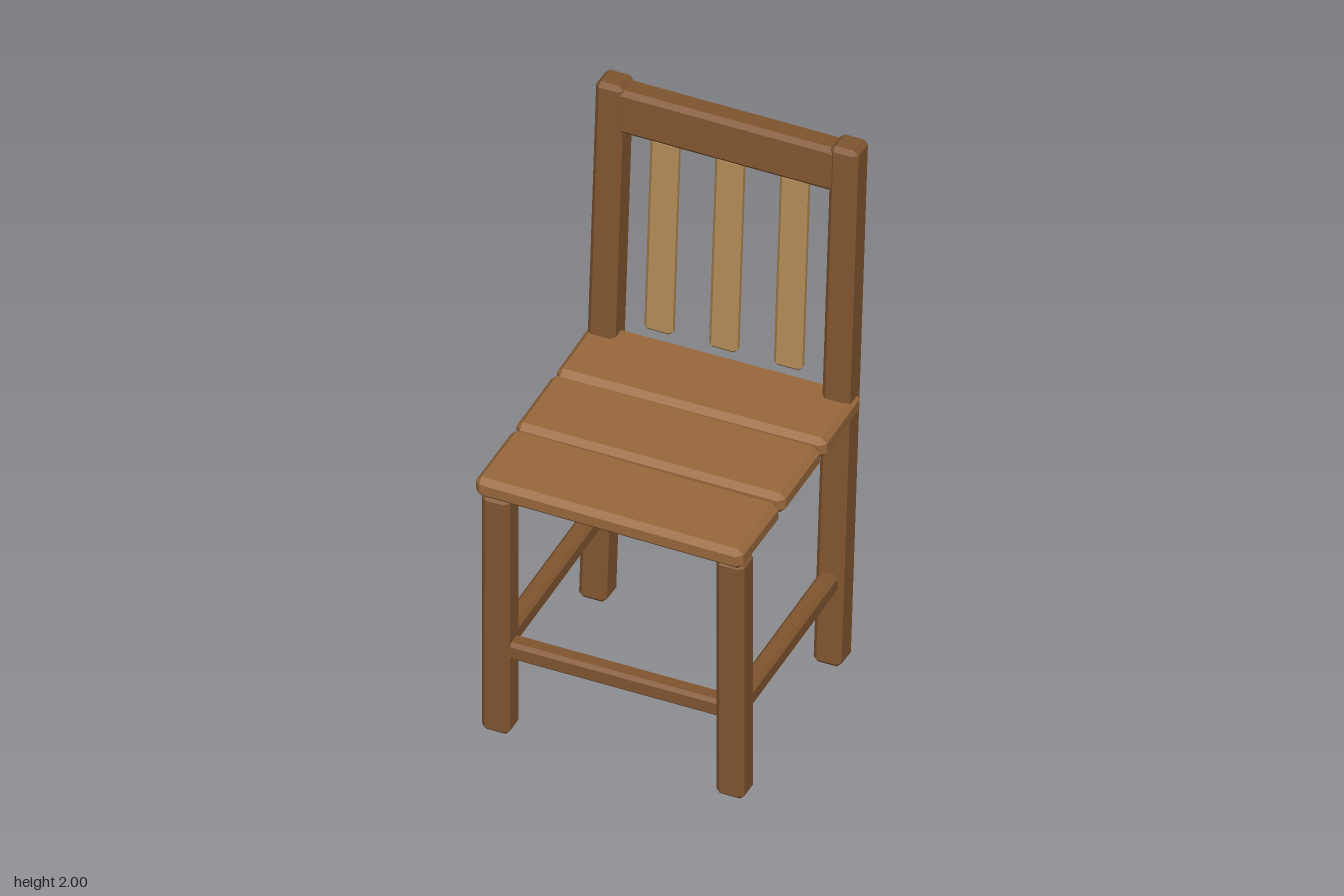
import * as THREE from 'three';
import { ConvexGeometry } from 'three/addons/geometries/ConvexGeometry.js';

const material = (color) => new THREE.MeshStandardMaterial({ color, flatShading: true });

// Box with flat chamfers on every edge and corner
function chamferBox(w, h, d, c) {
  const points = [];
  for (const x of [-1, 1]) for (const y of [-1, 1]) for (const z of [-1, 1]) {
    const [X, Y, Z] = [w / 2, h / 2, d / 2];
    points.push(
      new THREE.Vector3(x * X, y * (Y - c), z * (Z - c)),
      new THREE.Vector3(x * (X - c), y * Y, z * (Z - c)),
      new THREE.Vector3(x * (X - c), y * (Y - c), z * Z));
  }
  return new ConvexGeometry(points);
}

export function createModel() {
  const chair = new THREE.Group();
  chair.name = 'chair';
  const frameWood = material(0x80552f);
  const seatWood = material(0x98683c);
  const slatWood = material(0xb08a56);

  function beam(parent, name, size, position, chamfer, wood) {
    const mesh = new THREE.Mesh(chamferBox(...size, chamfer), wood);
    mesh.name = name;
    mesh.position.set(...position);
    parent.add(mesh);
    return mesh;
  }

  // Leaning back frame: posts, top rail and slats share one tilt
  const back = new THREE.Group();
  back.name = 'backFrame';
  back.position.set(0, 1, -0.393);
  back.rotation.x = -0.0675;
  chair.add(back);

  for (const [side, s] of [['left', 1], ['right', -1]]) {
    beam(back, side + 'BackPost', [0.098, 1.998, 0.105], [s * 0.413, 0, 0], 0.016, frameWood);
    beam(chair, side + 'FrontLeg', [0.098, 0.952, 0.098], [s * 0.413, 0.476, 0.432], 0.016, frameWood);
    beam(chair, side + 'Stretcher', [0.065, 0.067, 0.8], [s * 0.413, 0.334, 0.055], 0.012, frameWood);
  }
  beam(chair, 'frontStretcher', [0.8, 0.067, 0.065], [0, 0.334, 0.432], 0.012, frameWood);
  beam(back, 'topRail', [0.78, 0.165, 0.095], [0, 0.902, 0], 0.016, frameWood);
  for (const x of [-0.228, 0, 0.228]) {
    beam(back, 'backSlat', [0.1, 0.746, 0.042], [x, 0.449, 0], 0.013, slatWood);
  }

  // Three seat planks, the outer two laid slightly askew: [z, depth, turn]
  for (const [z, depth, turn] of [[0.357, 0.305, -0.0105], [0.037, 0.308, 0], [-0.275, 0.3, 0.0105]]) {
    beam(chair, 'seatPlank', [0.946, 0.077, depth], [0, 0.994, z], 0.02, seatWood).rotation.y = turn;
  }
  return chair;
}
